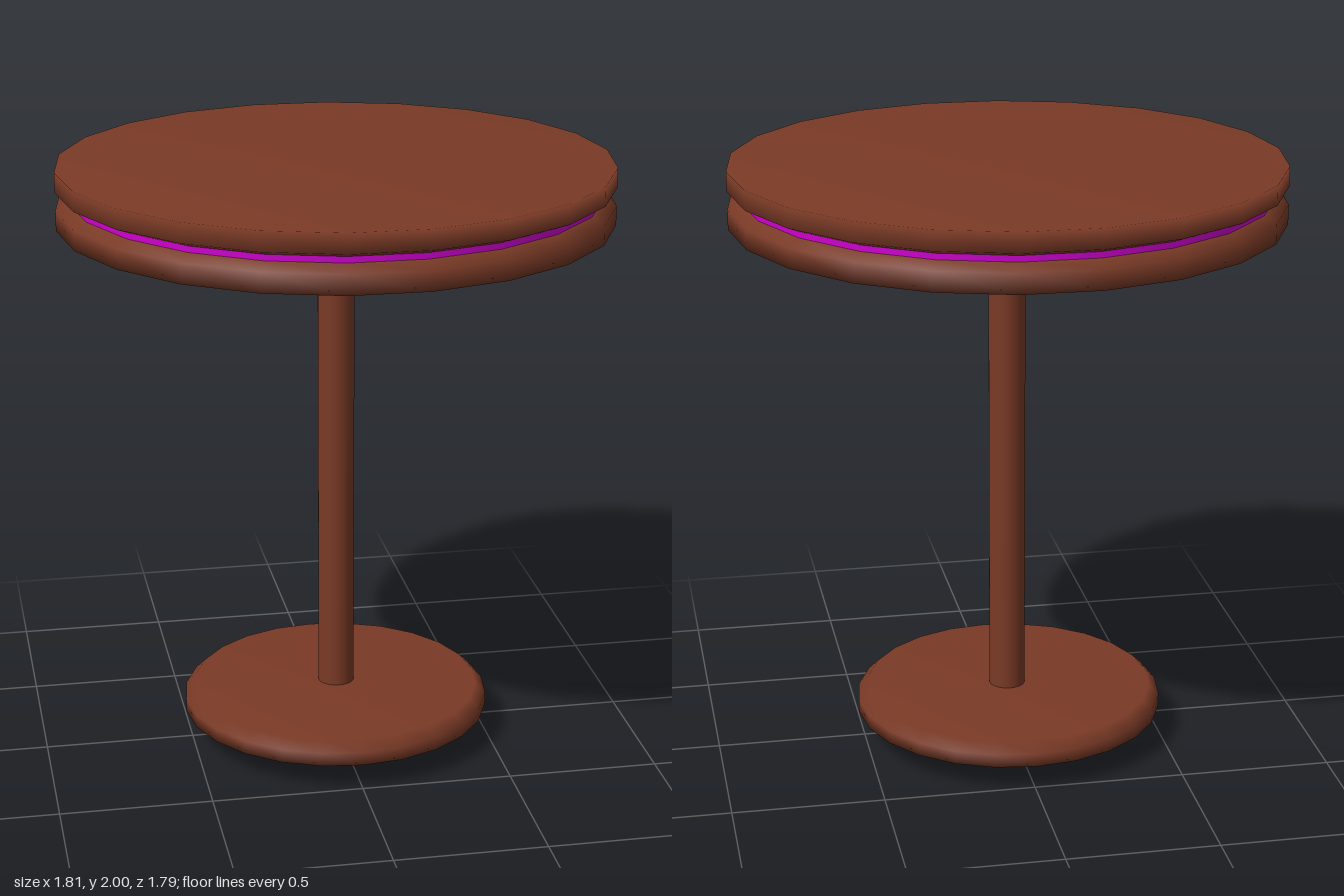
import * as THREE from 'three';

const brown = new THREE.MeshStandardMaterial({ color: 0x7a3a26 });
brown.name = 'brown wood';
const magenta = new THREE.MeshStandardMaterial({ color: 0xcc00cc });
magenta.name = 'magenta trim';

// Turned part from a [radius, height] profile, with a corner on the x axis
function turned(name, profile, sides, material) {
  const points = profile.map(([r, y]) => new THREE.Vector2(r, y));
  const mesh = new THREE.Mesh(new THREE.LatheGeometry(points, sides, Math.PI / 2), material);
  mesh.name = name;
  return mesh;
}

export function createModel() {
  const model = new THREE.Group();
  model.name = 'pedestalTable';

  // Table top: two slabs with a recessed coloured strip between them
  const rim = 0.906, neck = 0.864, topSides = 22;
  const top = new THREE.Group();
  top.name = 'tableTop';
  top.add(
    turned('lowerSlab', [[0, 1.81], [rim, 1.81], [rim, 1.875], [neck, 1.898]], topSides, brown),
    turned('trimStrip', [[neck, 1.898], [neck, 1.918]], topSides, magenta),
    turned('upperSlab', [[neck, 1.918], [rim, 1.935], [rim, 2], [0, 2]], topSides, brown)
  );

  // Pole running through the foot disc to the floor
  const pole = new THREE.Mesh(new THREE.CylinderGeometry(0.061, 0.061, 1.82, 20), brown);
  pole.name = 'pole';
  pole.position.set(0.005, 0.91, -0.017);

  // Foot disc with a bevelled upper edge
  const foot = turned('footDisc',
    [[0, 0.09], [0.519, 0.09], [0.519, 0.135], [0.485, 0.168], [0, 0.168]], 24, brown);
  foot.position.z = -0.01;

  model.add(top, pole, foot);
  return model;
}
